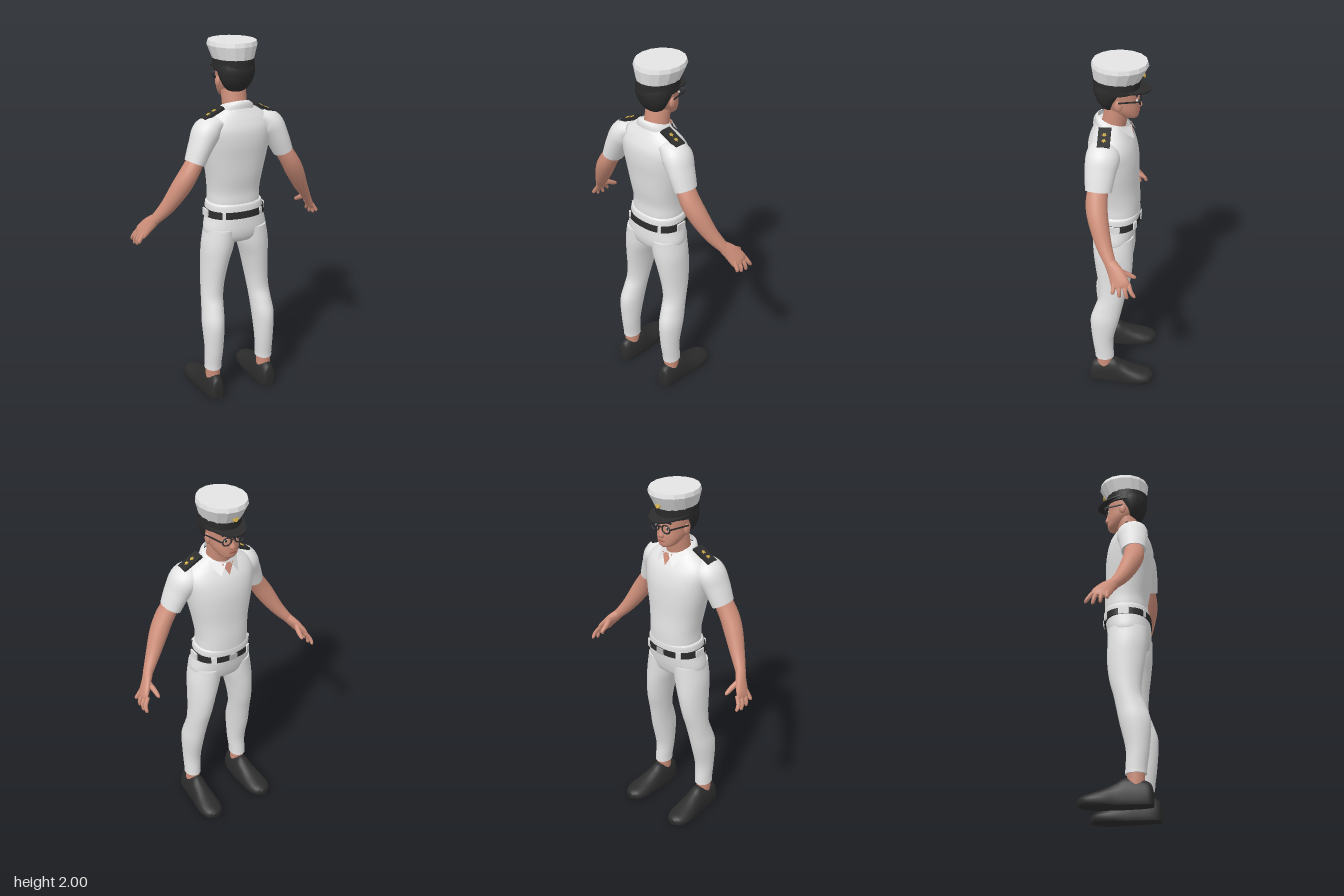
import * as THREE from 'three';

const mat = (name, color, side = THREE.FrontSide) => {
  const m = new THREE.MeshStandardMaterial({ color, side });
  m.name = name;
  return m;
};
const V3 = (x, y, z) => new THREE.Vector3(x, y, z);
const UP = V3(0, 1, 0), FORWARD = V3(0, 0, -1);

// Skins a row list [x, y, z, halfWidth, halfDepth] with smooth superelliptic rings.
function loft(rows, { axis = null, seg = 24, steps = 5, exp = 2, caps = true, floor = -1, flat = false } = {}) {
  const path = new THREE.CatmullRomCurve3(rows.map(r => V3(r[0], r[1], r[2])), false, 'catmullrom');
  const size = new THREE.CatmullRomCurve3(rows.map(r => V3(r[3], r[4], 0)), false, 'catmullrom');
  const n = (rows.length - 1) * steps, pos = [], idx = [];
  const put = p => pos.push(p.x, Math.max(floor, p.y), p.z);
  const rings = [], centres = [];
  for (let i = 0; i <= n; i++) {
    const c = path.getPoint(i / n), s = size.getPoint(i / n);
    const t = axis ? axis.clone().normalize() : path.getTangent(i / n);
    const u = V3(1, 0, 0).addScaledVector(t, -t.x).normalize();
    const v = u.clone().cross(t);
    const ring = [];
    for (let j = 0; j < seg; j++) {
      const a = (j / seg) * Math.PI * 2, ca = Math.cos(a), sa = Math.sin(a);
      const k = Math.pow(Math.abs(ca) ** exp + Math.abs(sa) ** exp, -1 / exp);
      ring.push(c.clone().addScaledVector(u, ca * k * s.x).addScaledVector(v, sa * k * s.y));
    }
    ring.forEach(put);
    rings.push(ring);
    centres.push(c);
  }
  for (let i = 0; i < n; i++) for (let j = 0; j < seg; j++) {
    const a = i * seg + j, b = i * seg + (j + 1) % seg;
    idx.push(a, a + seg, b, b, a + seg, b + seg);
  }
  if (caps) for (const end of [0, n]) {
    const base = pos.length / 3;
    rings[end].forEach(put);
    put(centres[end]);
    for (let j = 0; j < seg; j++) {
      const p = base + j, q = base + (j + 1) % seg;
      idx.push(base + seg, end ? q : p, end ? p : q);
    }
  }
  let g = new THREE.BufferGeometry();
  g.setAttribute('position', new THREE.Float32BufferAttribute(pos, 3));
  g.setIndex(idx);
  if (flat) g = g.toNonIndexed();
  g.computeVertexNormals();
  return g;
}

function triangle(...p) {
  const g = new THREE.BufferGeometry().setFromPoints(p.map(q => V3(...q)));
  g.computeVertexNormals();
  return g;
}

function starGeometry(r) {
  const s = new THREE.Shape();
  for (let i = 0; i < 10; i++) {
    const a = i * Math.PI / 5, k = i % 2 ? r * 0.5 : r;
    s[i ? 'lineTo' : 'moveTo'](Math.cos(a) * k, Math.sin(a) * k);
  }
  return new THREE.ExtrudeGeometry(s, { depth: 0.004, bevelEnabled: false }).rotateX(-Math.PI / 2);
}

export function createModel() {
  const white = mat('white cloth', 0xe4e4e4), whiteThin = mat('white collar cloth', 0xe4e4e4, THREE.DoubleSide);
  const black = mat('black', 0x2c2c2c), skin = mat('skin', 0xcd8e79);
  const skinThin = mat('open neck skin', 0xcd8e79, THREE.DoubleSide);
  const gold = mat('gold', 0xd0ad4a), silver = mat('silver', 0xb4b4b4);
  const eyeWhite = mat('eye white', 0xf0f0f0), lipRed = mat('lips', 0xa9604f);
  const root = new THREE.Group();
  const add = (name, geo, material, x = 0, y = 0, z = 0, parent = root) => {
    const m = new THREE.Mesh(geo, material);
    m.name = name;
    m.position.set(x, y, z);
    parent.add(m);
    return m;
  };
  const box = (x, y, z) => new THREE.BoxGeometry(x, y, z);
  const ball = (x, y, z) => new THREE.SphereGeometry(1, 16, 12).scale(x, y, z);

  // Shirt and trousers
  add('shirt', loft([
    [0, 1.10, 0.03, 0.145, 0.118], [0, 1.15, 0.03, 0.145, 0.12], [0, 1.21, 0.03, 0.145, 0.12],
    [0, 1.30, 0.04, 0.157, 0.125], [0, 1.40, 0.046, 0.178, 0.13], [0, 1.48, 0.053, 0.192, 0.132],
    [0, 1.55, 0.061, 0.2, 0.122], [0, 1.60, 0.066, 0.18, 0.1], [0, 1.64, 0.07, 0.128, 0.076],
    [0, 1.67, 0.07, 0.075, 0.06]], { axis: UP, seg: 36, exp: 2.3 }), white);
  add('waistband', loft([[0, 1.09, 0.037, 0.157, 0.124], [0, 1.1, 0.036, 0.159, 0.127],
    [0, 1.132, 0.034, 0.156, 0.125], [0, 1.142, 0.033, 0.148, 0.12]], { axis: UP, seg: 36, exp: 2.3 }), white);
  add('hips', loft([
    [0, 0.905, 0.05, 0.06, 0.045], [0, 0.93, 0.05, 0.15, 0.095], [0, 0.98, 0.049, 0.18, 0.115],
    [0, 1.05, 0.042, 0.169, 0.122], [0, 1.11, 0.036, 0.155, 0.122]], { axis: UP, seg: 36, exp: 2.2 }), white);

  // Belt with loops and buckle
  add('belt', loft([[0, 1.066, 0.039, 0.171, 0.131], [0, 1.103, 0.037, 0.167, 0.131]],
    { axis: UP, seg: 36, steps: 1, exp: 2.3 }), black);
  for (const [a, w] of [[0, 0.06], [52, 0.018], [128, 0.018], [180, 0.06], [232, 0.03], [308, 0.03]]) {
    const r = a * Math.PI / 180, c = Math.cos(r), s = Math.sin(r);
    const k = Math.pow(Math.abs(c) ** 2.3 + Math.abs(s) ** 2.3, -1 / 2.3);
    const loop = add('belt loop', box(w, 0.042, 0.008), white, c * k * 0.17, 1.085, 0.038 + s * k * 0.131);
    loop.rotation.y = Math.atan2(c * 0.131, s * 0.17);
  }
  add('buckle', box(0.046, 0.036, 0.009), silver, 0, 1.085, -0.095);

  // Neck, collar and open neckline
  add('neck', loft([[0, 1.6, 0.06, 0.066, 0.066], [0, 1.68, 0.045, 0.067, 0.064], [0, 1.76, 0.03, 0.068, 0.062]],
    { axis: UP }), skin);
  add('collar', loft([[0, 1.632, 0.06, 0.102, 0.092], [0, 1.662, 0.06, 0.09, 0.09], [0, 1.676, 0.056, 0.07, 0.08]],
    { axis: V3(0, 1, -0.36), steps: 2, caps: false, seg: 28 }), whiteThin);
  add('open neckline', triangle([-0.035, 1.65, -0.036], [0.035, 1.65, -0.036], [0, 1.585, -0.056]), skinThin);

  // Head, hair and face
  add('head', loft([
    [0, 1.694, -0.044, 0.022, 0.024], [0, 1.708, -0.032, 0.048, 0.046], [0, 1.75, 0, 0.073, 0.08],
    [0, 1.80, 0.025, 0.083, 0.102], [0, 1.86, 0.03, 0.09, 0.107], [0, 1.9, 0.03, 0.088, 0.1]],
    { axis: UP, exp: 2.2 }), skin);
  add('hair', loft([
    [0, 1.742, 0.068, 0.038, 0.026], [0, 1.76, 0.07, 0.063, 0.045], [0, 1.80, 0.074, 0.088, 0.065],
    [0, 1.85, 0.064, 0.102, 0.09], [0, 1.89, 0.05, 0.103, 0.1]], { axis: UP }), black);
  add('nose', loft([[0, 1.75, -0.076, 0.011, 0.008], [0, 1.761, -0.08, 0.016, 0.016],
    [0, 1.785, -0.077, 0.01, 0.012], [0, 1.82, -0.072, 0.008, 0.008]], { axis: UP, seg: 12 }), skin);
  add('lips', ball(0.022, 0.007, 0.006), lipRed, 0, 1.732, -0.078);
  add('glasses bridge', box(0.024, 0.005, 0.005), black, 0, 1.812, -0.088);

  // Peaked cap
  add('cap band', loft([[0, 1.85, 0.036, 0.104, 0.117], [0, 1.912, 0.034, 0.108, 0.122]],
    { axis: UP, steps: 1, seg: 28 }), black);
  add('cap crown', loft([[0, 1.905, 0.032, 0.106, 0.121], [0, 1.978, 0.018, 0.13, 0.145], [0, 2.0, 0.018, 0.125, 0.139]],
    { axis: UP, steps: 1, seg: 16, flat: true }), white);
  const peak = new THREE.Shape();
  peak.absellipse(0, 0, 0.106, 0.172, 0.1, Math.PI - 0.1, false);
  peak.absellipse(0, 0, 0.1, 0.1, Math.PI - 0.1, 0.1, true);
  add('cap peak', new THREE.ExtrudeGeometry(peak, { depth: 0.008, bevelEnabled: false, curveSegments: 20 })
    .rotateX(-Math.PI / 2 - 0.15), black, 0, 1.872, 0.032);
  add('cap badge', new THREE.CylinderGeometry(0.015, 0.015, 0.008, 12).rotateX(Math.PI / 2 + 0.4),
    gold, 0, 1.928, -0.102);

  const star = starGeometry(0.013);
  for (const s of [1, -1]) {
    const side = new THREE.Group();
    side.name = s > 0 ? 'left side' : 'right side';
    root.add(side);
    const put = (name, geo, m, x = 0, y = 0, z = 0) => add(name, geo, m, x * s, y, z, side);
    const limb = (name, rows, m, opts) => put(name, loft(rows.map(([x, ...r]) => [x * s, ...r]), opts), m);

    // Face details
    put('ear', ball(0.011, 0.03, 0.02), skin, 0.085, 1.79, 0.02);
    put('eye', ball(0.015, 0.009, 0.005), eyeWhite, 0.036, 1.803, -0.07);
    put('pupil', ball(0.006, 0.007, 0.003), black, 0.036, 1.803, -0.0745);
    put('eyebrow', box(0.04, 0.007, 0.008), black, 0.037, 1.836, -0.07);
    put('glasses rim', new THREE.TorusGeometry(0.025, 0.004, 8, 24).scale(1.05, 0.85, 1), black, 0.037, 1.805, -0.086);
    put('glasses arm', box(0.005, 0.007, 0.11), black, 0.083, 1.812, -0.033).rotation.y = s * 0.22;

    // Collar point
    put('collar point', triangle([0.012 * s, 1.652, -0.042], [0.088 * s, 1.655, 0.015], [0.052 * s, 1.592, -0.058]), whiteThin);

    // Shoulder board with stars
    const board = put('shoulder board', box(0.12, 0.013, 0.064), black, 0.148, 1.643, 0.087);
    board.rotation.z = -0.45 * s;
    for (const x of [-0.014, 0.022]) add('star', star, gold, x * s, 0.006, 0, board);

    // Sleeve and arm
    limb('sleeve', [[0.12, 1.585, 0.08, 0.045, 0.075], [0.18, 1.552, 0.09, 0.074, 0.088],
      [0.222, 1.485, 0.102, 0.063, 0.08], [0.262, 1.396, 0.109, 0.052, 0.068]], white);
    limb('arm', [[0.25, 1.42, 0.11, 0.044, 0.052], [0.30, 1.34, 0.115, 0.049, 0.056],
      [0.345, 1.265, 0.102, 0.05, 0.052], [0.405, 1.165, 0.07, 0.038, 0.041],
      [0.465, 1.085, 0.03, 0.025, 0.029]], skin);
    limb('palm', [[0.455, 1.098, 0.037, 0.026, 0.03], [0.49, 1.055, 0.003, 0.023, 0.043],
      [0.522, 1.01, -0.022, 0.018, 0.05], [0.533, 0.99, -0.027, 0.01, 0.042]], skin, { seg: 16 });

    // Fingers and thumb
    const fingers = [[0.01, 0.016, 0.963], [-0.016, -0.02, 0.943], [-0.042, -0.058, 0.936], [-0.064, -0.095, 0.945]];
    fingers.forEach(([z0, z1, y]) => limb('finger', [[0.52, 1.015, z0, 0.011, 0.012],
      [0.544, 0.978, (z0 + z1) / 2, 0.011, 0.011], [0.547, y + 0.008, z1, 0.009, 0.009],
      [0.547, y, z1, 0.003, 0.003]], skin, { seg: 10, steps: 3 }));
    limb('thumb', [[0.487, 1.065, -0.015, 0.015, 0.016], [0.476, 1.04, -0.055, 0.014, 0.014],
      [0.472, 1.02, -0.09, 0.01, 0.01], [0.471, 1.014, -0.1, 0.003, 0.003]], skin, { seg: 10, steps: 3 });

    // Trouser leg, ankle and shoe
    limb('trouser leg', [[0.163, 0.165, 0.1, 0.047, 0.056], [0.162, 0.2, 0.102, 0.047, 0.056],
      [0.159, 0.3, 0.109, 0.052, 0.062], [0.157, 0.44, 0.097, 0.06, 0.082], [0.15, 0.53, 0.075, 0.059, 0.079],
      [0.144, 0.6, 0.056, 0.06, 0.075], [0.135, 0.69, 0.045, 0.064, 0.088], [0.122, 0.8, 0.045, 0.074, 0.103],
      [0.105, 0.9, 0.05, 0.087, 0.11], [0.09, 1.0, 0.05, 0.085, 0.112]], white, { axis: UP });
    limb('ankle', [[0.163, 0.1, 0.1, 0.04, 0.045], [0.163, 0.18, 0.1, 0.04, 0.046]], skin, { axis: UP });
    limb('shoe', [[0.165, 0.025, 0.189, 0.022, 0.04], [0.165, 0.025, 0.175, 0.04, 0.088],
      [0.163, 0.025, 0.13, 0.05, 0.11], [0.163, 0.025, 0.05, 0.056, 0.122], [0.165, 0.025, 0, 0.06, 0.095],
      [0.17, 0.025, -0.06, 0.067, 0.066], [0.173, 0.025, -0.12, 0.067, 0.046],
      [0.174, 0.025, -0.165, 0.052, 0.033], [0.174, 0.025, -0.188, 0.022, 0.018]],
      black, { axis: FORWARD, floor: 0, exp: 2.2 });
  }
  return root;
}
